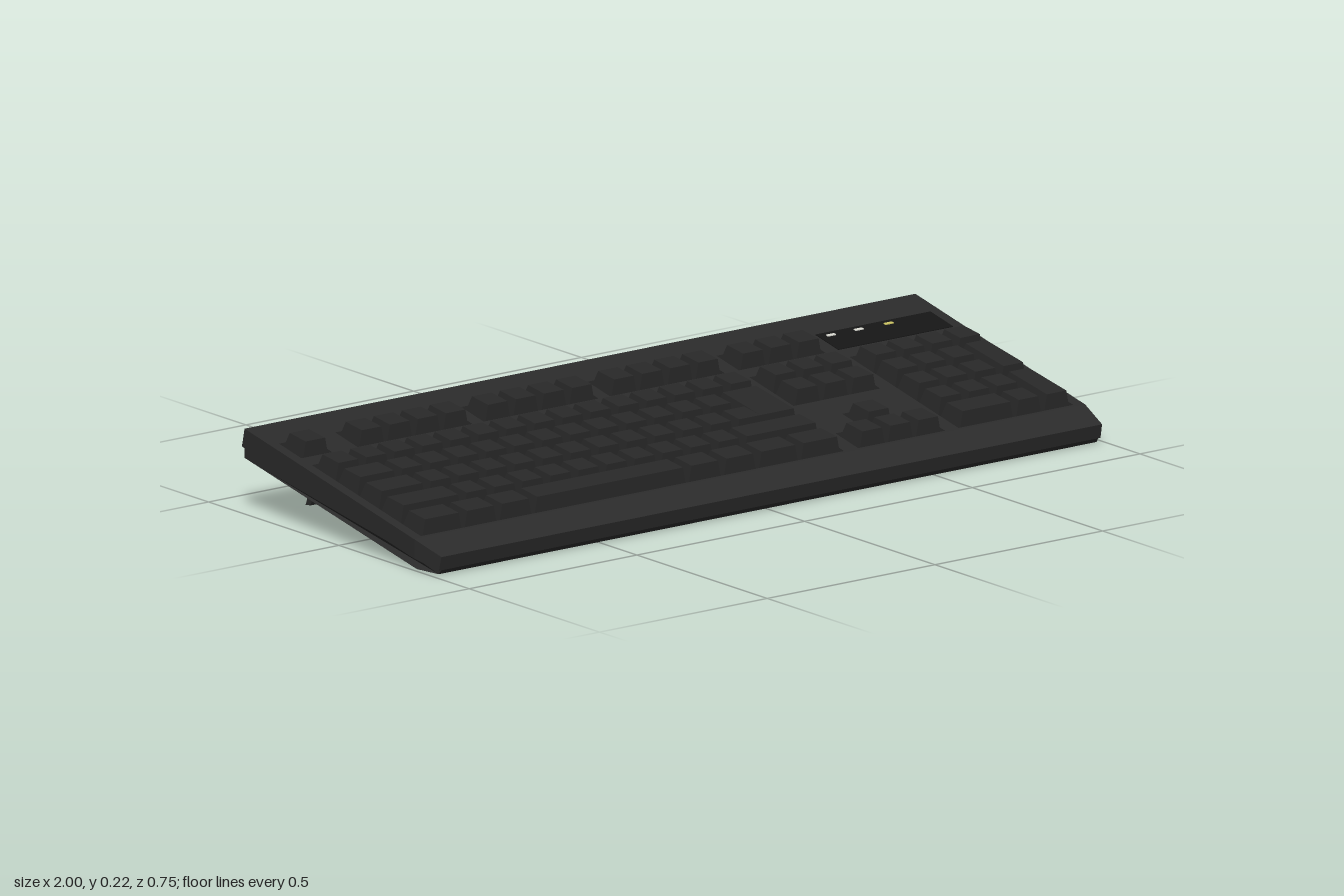
import * as THREE from 'three';
import { mergeGeometries } from 'three/addons/utils/BufferGeometryUtils.js';

const U = 0.0836;                                        // key pitch across
const ROW = 0.083;                                       // key pitch front to back
const FRONT = [-0.182, -0.056, 0.0275, 0.11, 0.1935, 0.276]; // front edge of key rows 0 (rear) to 5
const MAIN = -0.97, NAV = 0.334, PAD = 0.633;            // left edges of the key blocks
const WELL = 0.02;                                       // depth of the key wells

const material = (color) => new THREE.MeshStandardMaterial({ color, flatShading: true });
const bodyMat = material(0x2b2b2b);
const keyMat = material(0x282828);
const panelMat = material(0x161616);

// Move every vertex by a rule
function warp(geo, rule) {
  const p = geo.attributes.position, v = new THREE.Vector3();
  for (let i = 0; i < p.count; i++) {
    rule(v.fromBufferAttribute(p, i));
    p.setXYZ(i, v.x, v.y, v.z);
  }
  geo.computeVertexNormals();
  return geo;
}

// Turn height above the top plate into world height on the sloping deck
const tilt = (geo) => warp(geo, (v) => { v.y += 0.1347 - 0.2025 * v.z; });

const points = (list) => list.map(([x, y]) => new THREE.Vector2(x, y));

// Side profile of [z, y] points extruded across x
function prism(profile, x0, x1) {
  return new THREE.ExtrudeGeometry(new THREE.Shape(points(profile)), { depth: x1 - x0, bevelEnabled: false })
    .rotateY(-Math.PI / 2).translate(x1, 0, 0);
}

// Narrow the front corners
const cornerCut = (geo) => warp(geo, (v) => {
  if (v.z > 0.3) v.x *= 1 - 0.18 * (v.z - 0.29);
});

// Tapered keycap: upright front, sloping sides and back
function keycap(x, row, w = 1, rows = 1) {
  const front = FRONT[row + rows - 1], back = front - rows * ROW + 0.004;
  const geo = new THREE.BoxGeometry(1, 1, 1).toNonIndexed();
  return tilt(warp(geo, (v) => {
    const top = v.y > 0, isFront = v.z > 0, inset = top ? 0.013 : 0.002;
    v.x = v.x < 0 ? x + inset : x + w * U - inset;
    v.y = top ? (isFront ? 0.036 : 0.0314) : -WELL;
    v.z = isFront ? front : back + (top ? 0.017 : 0);
  }));
}

// A run of keys with the given widths
function keyRun(x, row, widths) {
  return widths.map((w) => {
    const k = keycap(x, row, w);
    x += w * U;
    return k;
  });
}
const ones = (n) => Array(n).fill(1);

// Rectangular opening in the top plate around a block of keys
function well(x, row, cols, rows = 1) {
  const front = FRONT[row + rows - 1];
  const f = -(front + 0.005), b = -(front - rows * ROW + 0.002);
  const l = x - 0.004, r = x + cols * U + 0.004;
  return new THREE.Path(points([[l, f], [r, f], [r, b], [l, b]]));
}

export function createModel() {
  const model = new THREE.Group();
  const add = (name, geo, mat, parent = model) => {
    const mesh = new THREE.Mesh(geo, mat);
    mesh.name = name;
    parent.add(mesh);
  };

  // Top plate with key wells
  const plate = new THREE.Shape(points([[-1, -0.29], [1, -0.29], [1, 0.362], [-1, 0.362]]));
  const rearBlocks = [2, 6.5, 11].map((c) => MAIN + c * U);
  plate.holes.push(
    well(MAIN, 0, 1), ...rearBlocks.map((x) => well(x, 0, 4)), well(MAIN, 1, 15, 5),
    well(NAV, 0, 3), well(NAV, 1, 3, 2), well(PAD, 1, 4, 5));
  const l = NAV - 0.004, r = NAV + 3 * U + 0.004, m0 = NAV + U - 0.004, m1 = NAV + 2 * U + 0.004;
  plate.holes.push(new THREE.Path(points([
    [l, -0.281], [r, -0.281], [r, -0.194], [m1, -0.194], [m1, -0.112], [m0, -0.112], [m0, -0.194], [l, -0.194],
  ])));
  const plateGeo = new THREE.ExtrudeGeometry(plate, { depth: WELL, bevelEnabled: false })
    .rotateX(-Math.PI / 2).translate(0, -WELL, 0);
  warp(plateGeo, (v) => { if (v.z < -0.36) v.z += 0.21 * v.y; });
  add('topPlate', tilt(plateGeo), bodyMat);

  // Upper shell under the wells, sloping front lip and lower tray
  add('upperShell', tilt(prism([[0.29, -WELL], [0.29, -0.0475], [-0.372, -0.0475], [-0.3662, -WELL]], -1, 1)), bodyMat);
  add('frontLip', tilt(cornerCut(prism([[0.29, 0], [0.374, -0.011], [0.366, -0.0475], [0.29, -0.0475]], -1, 1))), bodyMat);
  add('lowerTray', tilt(cornerCut(prism([
    [0.29, -0.0475], [0.366, -0.0475], [0.358, -0.06], [0.29, -0.0735], [-0.372, -0.076], [-0.372, -0.0475],
  ], -0.993, 0.993))), bodyMat);

  // Rear row: one lone key and three blocks of four
  add('rearRowKeys', mergeGeometries([
    keycap(MAIN, 0), ...rearBlocks.flatMap((x) => keyRun(x, 0, ones(4))),
  ]), keyMat);

  // Main typing block, with an L-shaped return key
  add('mainKeys', mergeGeometries([
    ...keyRun(MAIN, 1, ones(15)),
    ...keyRun(MAIN, 2, [1.5, ...ones(12)]),
    ...keyRun(MAIN, 3, [1.75, ...ones(11), 2.25]),
    ...keyRun(MAIN, 4, [2.25, ...ones(10), 2.75]),
    ...keyRun(MAIN, 5, [1.5, 1.25, 1.25, 5.5, 1.25, 1.25, 1.5, 1.5]),
    keycap(MAIN + 13.5 * U, 2, 1.5, 2),
  ]), keyMat);

  // Navigation and arrow keys
  add('navigationKeys', mergeGeometries([0, 1, 2].flatMap((row) => keyRun(NAV, row, ones(3)))), keyMat);
  add('arrowKeys', mergeGeometries([keycap(NAV + U, 4), ...keyRun(NAV, 5, ones(3))]), keyMat);

  // Number pad with two tall keys
  add('numberPadKeys', mergeGeometries([
    ...keyRun(PAD, 1, ones(4)),
    ...[2, 3, 4].flatMap((row) => keyRun(PAD, row, ones(3))),
    ...keyRun(PAD, 5, [2, 1]),
    keycap(PAD + 3 * U, 2, 1, 2), keycap(PAD + 3 * U, 4, 1, 2),
  ]), keyMat);

  // Status panel and its lights
  add('statusPanel', tilt(new THREE.BoxGeometry(0.342, 0.004, 0.087).toNonIndexed().translate(0.799, 0, -0.222)), panelMat);
  [[0.66, 0xd8d8d0], [0.743, 0xd8d8d0], [0.832, 0xc8c060]].forEach(([x, color]) =>
    add('statusLight', tilt(new THREE.BoxGeometry(0.025, 0.004, 0.008).toNonIndexed().translate(x, 0.002, -0.248)), material(color)));

  // Rear foot housings with fold-out feet
  for (const side of [1, -1]) {
    const foot = new THREE.Group();
    foot.name = side > 0 ? 'leftFoot' : 'rightFoot';
    const cx = side * 0.775;
    const housing = prism([[-0.06, 0.074], [-0.198, 0.056], [-0.356, 0.064], [-0.372, 0.136]], cx - 0.135, cx + 0.135);
    warp(housing, (v) => { if (v.y < 0.07) v.x = cx + (v.x - cx) * 0.82; });
    add('footHousing', housing, bodyMat, foot);
    add('footLeg', prism([[-0.285, 0.075], [-0.322, 0.002], [-0.34, 0], [-0.311, 0.075]], cx - 0.06, cx + 0.06), bodyMat, foot);
    const hinge = new THREE.CylinderGeometry(0.01, 0.01, 0.16, 10).rotateZ(Math.PI / 2).translate(cx, 0.06, -0.3);
    add('footHinge', hinge, bodyMat, foot);
    model.add(foot);
  }
  return model;
}
